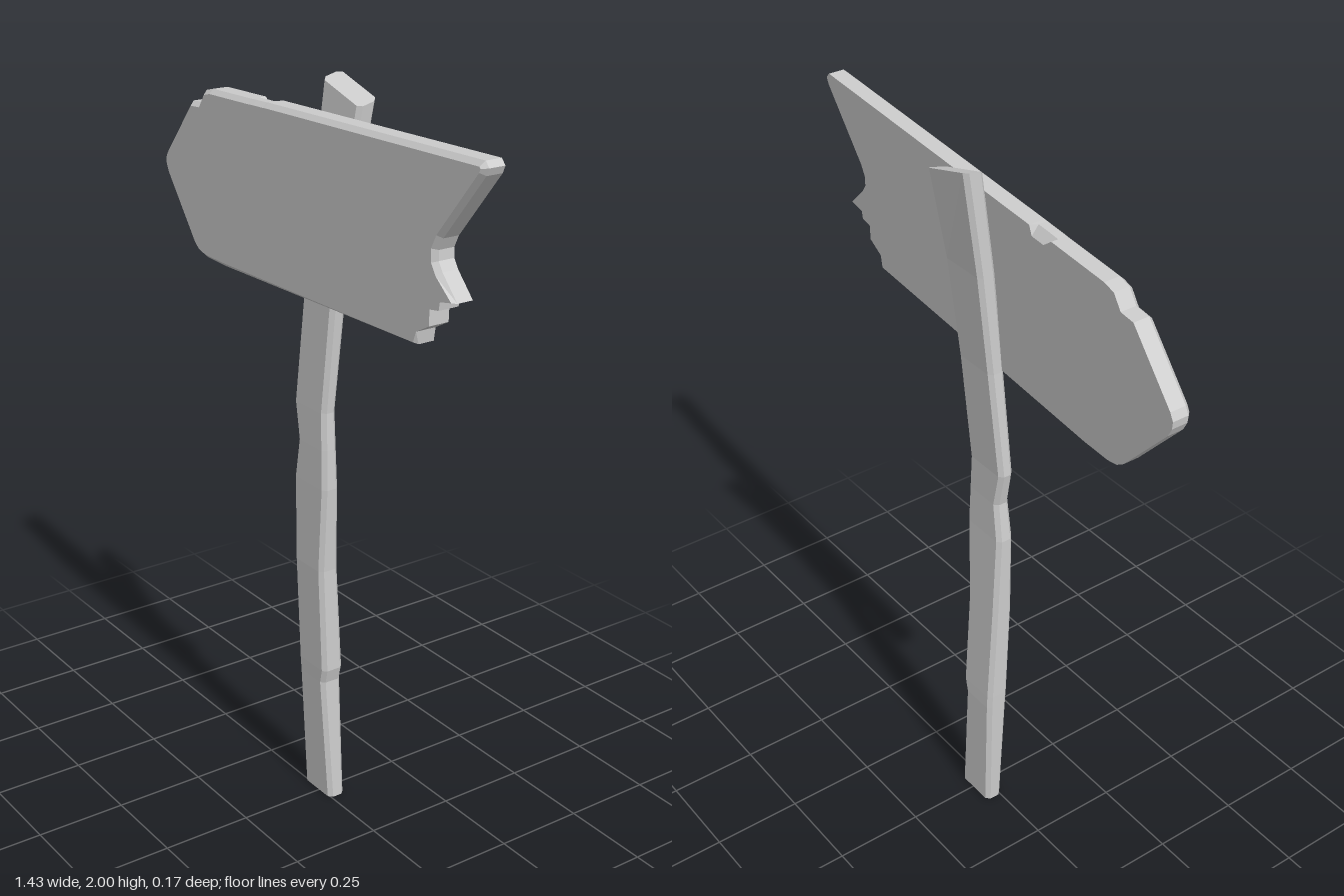
import * as THREE from 'three';

const material = new THREE.MeshStandardMaterial({ color: 0xcccccc, flatShading: true });

// Skins a stack of equal-length rings and caps both ends; flat() gives the 2D cap plane.
function loft(name, rings, flat) {
  const pos = [];
  const tri = (...pts) => pts.forEach((p) => pos.push(...p));
  for (let k = 0; k < rings.length - 1; k++) {
    const lo = rings[k], hi = rings[k + 1];
    lo.forEach((a, i) => {
      const j = (i + 1) % lo.length;
      tri(a, lo[j], hi[j]);
      tri(a, hi[j], hi[i]);
    });
  }
  const cap = (ring, flip) => {
    const pts = ring.map((p) => new THREE.Vector2(...flat(p)));
    for (const [a, b, c] of THREE.ShapeUtils.triangulateShape(pts, [])) {
      if (flip) tri(ring[c], ring[b], ring[a]);
      else tri(ring[a], ring[b], ring[c]);
    }
  };
  cap(rings[0], true);
  cap(rings[rings.length - 1], false);
  const geo = new THREE.BufferGeometry();
  geo.setAttribute('position', new THREE.Float32BufferAttribute(pos, 3));
  geo.computeVertexNormals();
  const mesh = new THREE.Mesh(geo, material);
  mesh.name = name;
  return mesh;
}

// Crooked post: chamfered rectangle swept through uneven sections.
function makePost() {
  // y, left x, right x, back z, front z
  const sections = [
    [0, -0.07, 0.053, -0.045, 0.005],
    [0.36, -0.077, 0.034, -0.045, 0.018],
    [0.4, -0.078, 0.045, -0.044, 0.02],
    [0.7, -0.083, 0.04, -0.031, 0.028],
    [0.94, -0.086, 0.054, -0.022, 0.027],
    [1.05, -0.07, 0.05, -0.02, 0.025],
    [1.15, -0.091, 0.044, -0.02, 0.022],
    [1.45, -0.067, 0.066, -0.036, 0.01],
    [1.72, -0.055, 0.088, -0.058, -0.008],
    [1.98, -0.044, 0.11, -0.09, -0.035],
  ];
  const c = 0.011;
  const rings = sections.map(([y, l, r, b, f], k) => {
    const ring = [
      [l + c, f], [r - c, f], [r, f - c], [r, b + c],
      [r - c, b], [l + c, b], [l, b + c], [l, f - c],
    ];
    // the sawn top slopes down to the left side and to the front
    const top = k === sections.length - 1;
    return ring.map(([x, z]) => [x, top ? 2 - 0.3 * (x - l) - 0.25 * (z - b) : y, z]);
  });
  return loft('post', rings, (p) => [p[0], -p[2]]);
}

// Arrow board: outline from the tip, along the bottom, and back over the top.
function makeBoard() {
  // x, y, front bevel width, depth of the chip in the back edge
  const B = 0.012;
  const outline = [
    [-0.715, 1.67, B], [-0.713, 1.65, B], [-0.7, 1.625, B],
    [-0.55, 1.46, B], [-0.525, 1.443, B], [-0.49, 1.436, B], [-0.4, 1.436, B],
    [0.49, 1.478, 0.006],
    // splintered end
    [0.495, 1.512, 0], [0.543, 1.538, 0], [0.543, 1.578, 0], [0.577, 1.584, 0],
    [0.58, 1.605, 0], [0.628, 1.612, 0.004],
    // tail notch
    [0.568, 1.668, B], [0.552, 1.69, B], [0.55, 1.715, B], [0.565, 1.745, B],
    [0.706, 1.914, B], [0.714, 1.932, B], [0.7, 1.946, B],
    // top edge with the chip
    [-0.185, 1.909, B], [-0.195, 1.908, B, 0.024], [-0.24, 1.906, B, 0.024], [-0.27, 1.904, B],
    [-0.465, 1.895, B], [-0.5, 1.886, B], [-0.525, 1.85, B], [-0.57, 1.846, B],
    [-0.705, 1.69, B],
  ];
  const n = outline.length;
  const inset = outline.map(([x, y, w], i) => {
    const p = new THREE.Vector2(x, y);
    const prev = new THREE.Vector2(...outline[(i + n - 1) % n].slice(0, 2));
    const next = new THREE.Vector2(...outline[(i + 1) % n].slice(0, 2));
    const d1 = p.clone().sub(prev).normalize();
    const d2 = next.sub(p).normalize();
    const inward = new THREE.Vector2(-d1.y - d2.y, d1.x + d2.x).normalize();
    const miter = Math.max(0.6, inward.dot(new THREE.Vector2(-d1.y, d1.x)));
    return p.addScaledVector(inward, w / miter).toArray();
  });
  // the board is turned a little and leans back a little
  const place = (x, y, t) => [x, y, -0.008 + t + 0.045 * x + 0.028 * (1.9 - y)];
  const rings = [
    outline.map(([x, y, , chip = 0]) => place(x, y - chip, 0)),
    outline.map(([x, y]) => place(x, y, 0.02)),
    outline.map(([x, y]) => place(x, y, 0.044)),
    inset.map(([x, y]) => place(x, y, 0.057)),
  ];
  return loft('arrowBoard', rings, (p) => [p[0], p[1]]);
}

export function createModel() {
  const model = new THREE.Group();
  model.name = 'signpost';
  model.add(makePost(), makeBoard());
  return model;
}
